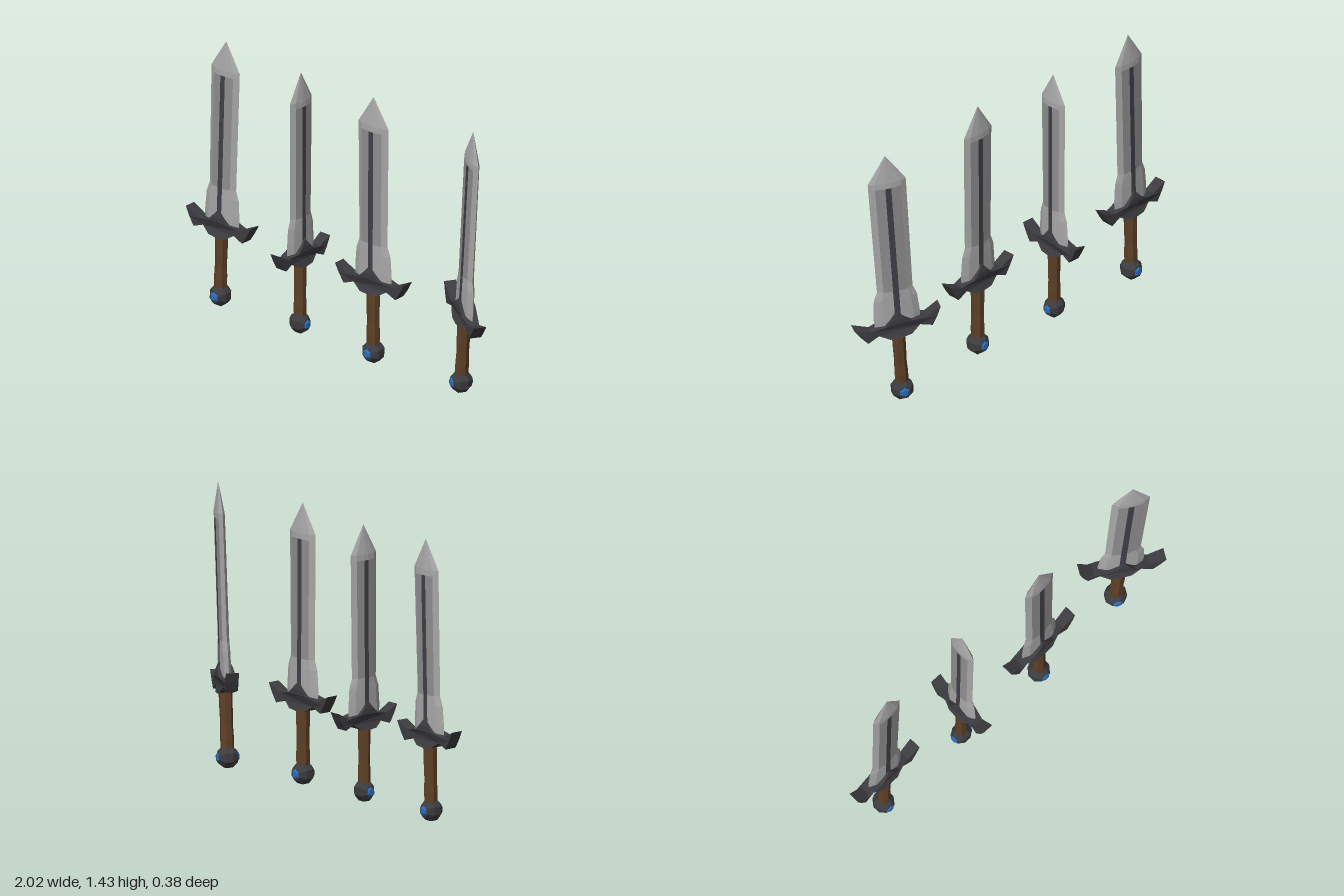
import * as THREE from 'three';

const mat = (name, color) => {
  const m = new THREE.MeshStandardMaterial({ color, flatShading: true });
  m.name = name;
  return m;
};

export function createModel() {
  const steel = mat('steel', 0x8e8e8e);
  const edgeSteel = mat('edgeSteel', 0xa6a6a6);
  const iron = mat('darkIron', 0x3c3c40);
  const fuller = mat('fullerGrey', 0x403f47);
  const leather = mat('leather', 0x5e4026);
  const blue = mat('blueGem', 0x2a6cb8);

  // Blade: rows of [height, half width, half thickness], bevelled across its width
  const rows = [[0.42, 0.112, 0.026], [0.5, 0.117, 0.026], [0.6, 0.109, 0.025], [0.65, 0.09, 0.024],
    [1.25, 0.096, 0.022], [1.28, 0.096, 0.021], [1.43, 0, 0]];
  const section = ([y, w, t]) => {
    const s = w ? 0.015 : 0;
    return [[-w, y, 0], [-w * 0.68, y, t * 0.72], [-s, y, t], [s, y, t], [w * 0.68, y, t * 0.72], [w, y, 0]];
  };
  const cells = [[], [], []]; // steel, edge steel, fuller
  for (let r = 0; r < rows.length - 1; r++) {
    const a = section(rows[r]), b = section(rows[r + 1]);
    for (let c = 0; c < 5; c++) {
      const bright = c === 0 || c === 4 || r < 3 || r > 3;
      const list = cells[c === 2 && r < 4 ? 2 : bright ? 1 : 0];
      const quad = [a[c], a[c + 1], b[c + 1], a[c], b[c + 1], b[c]];
      for (const p of quad) list.push(...p);
      // Back face is the front turned half way round
      for (const p of quad) list.push(-p[0], p[1], -p[2]);
    }
  }
  const bladeGeos = cells.map((list) => {
    const g = new THREE.BufferGeometry();
    g.setAttribute('position', new THREE.Float32BufferAttribute(list, 3));
    g.computeVertexNormals();
    return g;
  });

  // Winged guard, thick in the middle
  const half = [[0, 0.535], [0.035, 0.495], [0.065, 0.468], [0.14, 0.455], [0.22, 0.492],
    [0.195, 0.445], [0.165, 0.4], [0.105, 0.422], [0.055, 0.392], [0, 0.385]];
  const mirrored = half.slice(1, -1).reverse().map(([x, y]) => [-x, y]);
  const outline = new THREE.Shape([...half, ...mirrored].map(([x, y]) => new THREE.Vector2(x, y)));
  const guardGeo = new THREE.ExtrudeGeometry(outline, { depth: 0.064, bevelEnabled: false });
  guardGeo.translate(0, 0, -0.032);
  const gp = guardGeo.attributes.position;
  for (let i = 0; i < gp.count; i++) {
    const x = Math.abs(gp.getX(i));
    const k = x < 0.08 ? 1.3 : x < 0.15 ? 0.85 : 1;
    gp.setZ(i, gp.getZ(i) * k * (gp.getY(i) > 0.52 ? 0.75 : 1));
  }
  guardGeo.computeVertexNormals();

  // Slightly uneven grip
  const gripGeo = new THREE.LatheGeometry(
    [[0.033, 0.09], [0.035, 0.16], [0.032, 0.23], [0.034, 0.31], [0.035, 0.41]].map((p) => new THREE.Vector2(...p)), 7);

  // Faceted pommel with a gem on each face
  const pommelGeo = new THREE.LatheGeometry(
    [[0, -0.05], [0.032, -0.048], [0.056, -0.02], [0.056, 0.02], [0.032, 0.048], [0, 0.05]].map((p) => new THREE.Vector2(...p)), 8);
  pommelGeo.rotateX(Math.PI / 2).rotateZ(Math.PI / 8).translate(0, 0.07, 0);
  const gemGeo = new THREE.CylinderGeometry(0.017, 0.028, 0.009, 6);
  gemGeo.rotateX(Math.PI / 2);

  const add = (parent, name, geo, material) => {
    const m = new THREE.Mesh(geo, material);
    m.name = name;
    parent.add(m);
    return m;
  };

  const makeSword = (name, guardTilt) => {
    const g = new THREE.Group();
    g.name = name;
    add(g, 'bladeFlats', bladeGeos[0], steel);
    add(g, 'bladeEdges', bladeGeos[1], edgeSteel);
    add(g, 'bladeFuller', bladeGeos[2], fuller);
    const guard = add(g, 'guard', guardGeo, iron);
    guard.rotation.z = guardTilt;
    guard.position.set(0.45 * Math.sin(guardTilt), 0.45 * (1 - Math.cos(guardTilt)), 0);
    add(g, 'grip', gripGeo, leather);
    add(g, 'pommel', pommelGeo, iron);
    for (const side of [1, -1]) {
      const gem = add(g, side > 0 ? 'frontGem' : 'backGem', gemGeo, blue);
      gem.position.set(0, 0.07, side * 0.052);
      if (side < 0) gem.rotation.y = Math.PI;
    }
    return g;
  };

  // Four swords in a row: position, lean about x, yaw, lean about z, width and height scale, guard tilt
  const model = new THREE.Group();
  model.name = 'swordSet';
  const swords = [
    [[-0.803, 0, 0.04], -0.008, 0.085, -0.022, 0.95, 1, 0],
    [[-0.28, 0.005, 0.005], 0, -1.5, -0.005, 0.84, 0.983, 0],
    [[0.222, 0, -0.008], 0, 0.095, -0.001, 1, 1, 0],
    [[0.76, -0.012, -0.078], 0.01, -0.43, -0.073, 1.01, 1.008, -0.1],
  ];
  swords.forEach(([pos, rx, ry, rz, w, h, tilt], i) => {
    const s = makeSword('sword' + (i + 1), tilt);
    s.position.set(...pos);
    s.rotation.set(rx, ry, rz, 'XZY');
    s.scale.set(w, h, 1);
    model.add(s);
  });
  return model;
}
